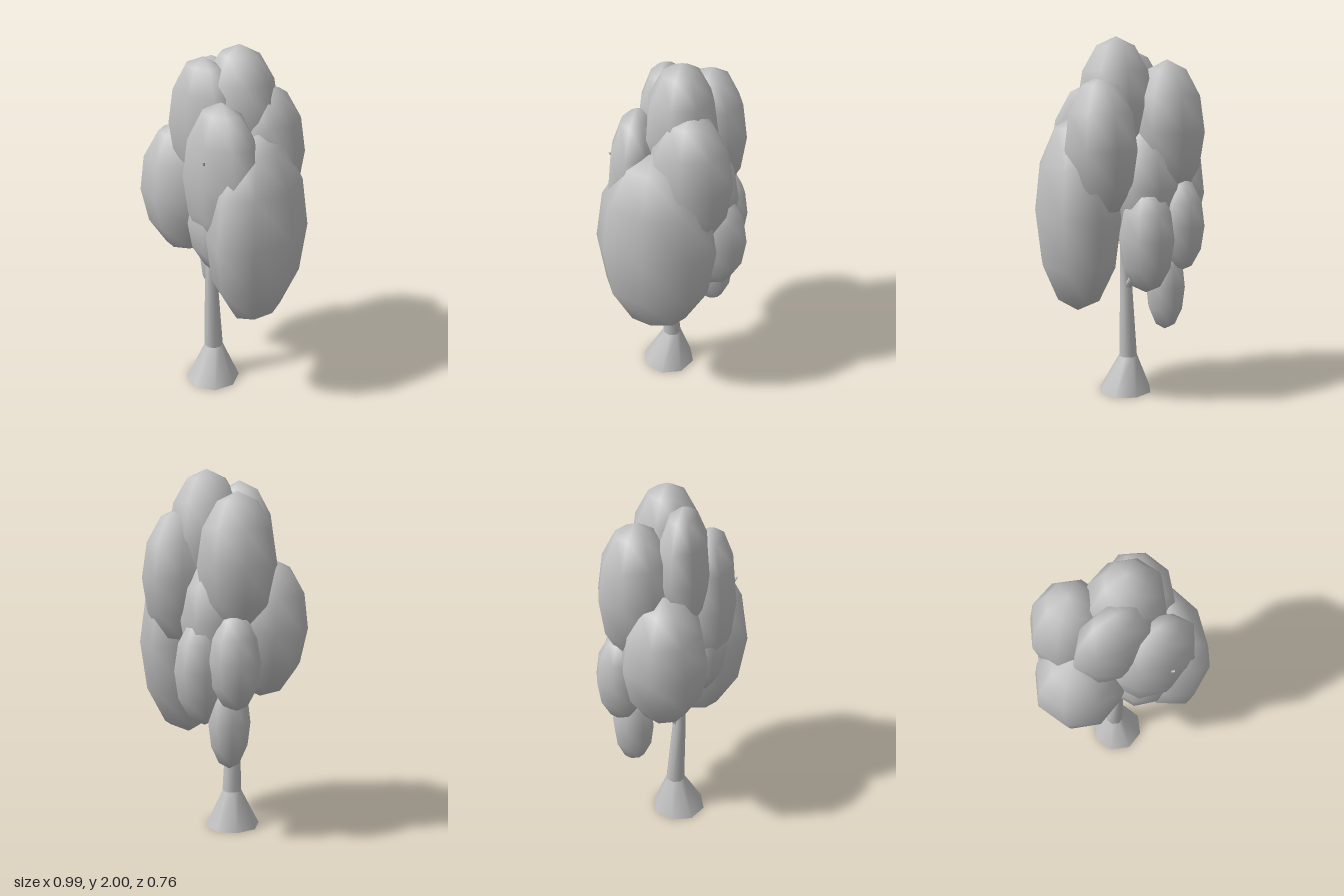
import * as THREE from 'three';
import { mergeVertices } from 'three/addons/utils/BufferGeometryUtils.js';

const clay = new THREE.MeshStandardMaterial({ color: 0xc0c0c0 });
clay.name = 'light grey';

// Tapered eight-sided limb through rings of [x, y, z, radius], lowest first
function limb(name, rings) {
  const n = rings.length - 1;
  let geo = new THREE.CylinderGeometry(1, 1, 1, 8, n);
  const p = geo.attributes.position;
  for (let i = 0; i < p.count; i++) {
    const [x, y, z, r] = rings[Math.round((p.getY(i) + 0.5) * n)];
    p.setXYZ(i, x + p.getX(i) * r, y, z + p.getZ(i) * r);
  }
  geo.deleteAttribute('uv');
  geo = mergeVertices(geo);
  geo.computeVertexNormals();
  const mesh = new THREE.Mesh(geo, clay);
  mesh.name = name;
  return mesh;
}

// Foliage clumps: name, centre, radii, sideways tilt
const clumps = [
  ['largeLeftFoliage', [0.265, 1.05, 0.05], [0.23, 0.54, 0.33], 0],
  ['rightFoliage', [-0.25, 1.16, 0.048], [0.25, 0.38, 0.235], 0.06],
  ['frontFoliage', [0.13, 1.35, 0.18], [0.24, 0.41, 0.155], 0],
  ['topFoliage', [0.07, 1.64, -0.035], [0.22, 0.36, 0.195], 0],
  ['upperRightFoliage', [-0.19, 1.5, -0.12], [0.22, 0.38, 0.205], 0],
  ['upperFrontFoliage', [-0.06, 1.58, 0.09], [0.23, 0.36, 0.14], 0],
  ['upperBackFoliage', [0.19, 1.42, -0.11], [0.2, 0.38, 0.23], 0],
  ['innerBackFoliage', [-0.06, 1.2, -0.1], [0.2, 0.35, 0.22], 0],
  ['innerFrontFoliage', [0.1, 1.07, 0.15], [0.2, 0.28, 0.15], 0],
  ['lowerBackFoliage', [-0.035, 0.94, -0.2], [0.15, 0.3, 0.18], 0],
  ['lowerBackRightFoliage', [-0.235, 1.0, -0.2], [0.14, 0.26, 0.14], 0],
  ['lowestFoliage', [-0.17, 0.66, -0.16], [0.11, 0.25, 0.12], 0],
];

export function createModel() {
  const tree = new THREE.Group();
  tree.name = 'tree';

  // Flared foot and slender trunk
  tree.add(limb('trunkFoot', [[-0.03, 0, 0.07, 0.155], [-0.04, 0.21, 0.05, 0.054]]));
  tree.add(limb('trunk', [
    [-0.04, 0.21, 0.05, 0.054], [-0.036, 0.6, 0.07, 0.038],
    [-0.03, 0.85, 0.07, 0.03], [0, 1.15, 0.05, 0.025],
  ]));

  // Branches reaching up into the foliage
  tree.add(limb('frontBranch', [
    [-0.03, 0.85, 0.07, 0.028], [0.06, 1.2, 0.17, 0.018], [0.14, 1.49, 0.33, 0.006],
  ]));
  tree.add(limb('backBranch', [
    [-0.036, 0.6, 0.07, 0.03], [-0.08, 0.75, -0.04, 0.02], [-0.1, 0.9, -0.15, 0.01],
  ]));

  // Rounded low-poly foliage
  const ball = new THREE.SphereGeometry(1, 8, 6);
  for (const [name, centre, radii, tilt] of clumps) {
    const clump = new THREE.Mesh(ball, clay);
    clump.name = name;
    clump.position.set(...centre);
    clump.scale.set(...radii);
    clump.rotation.z = tilt;
    tree.add(clump);
  }
  return tree;
}
